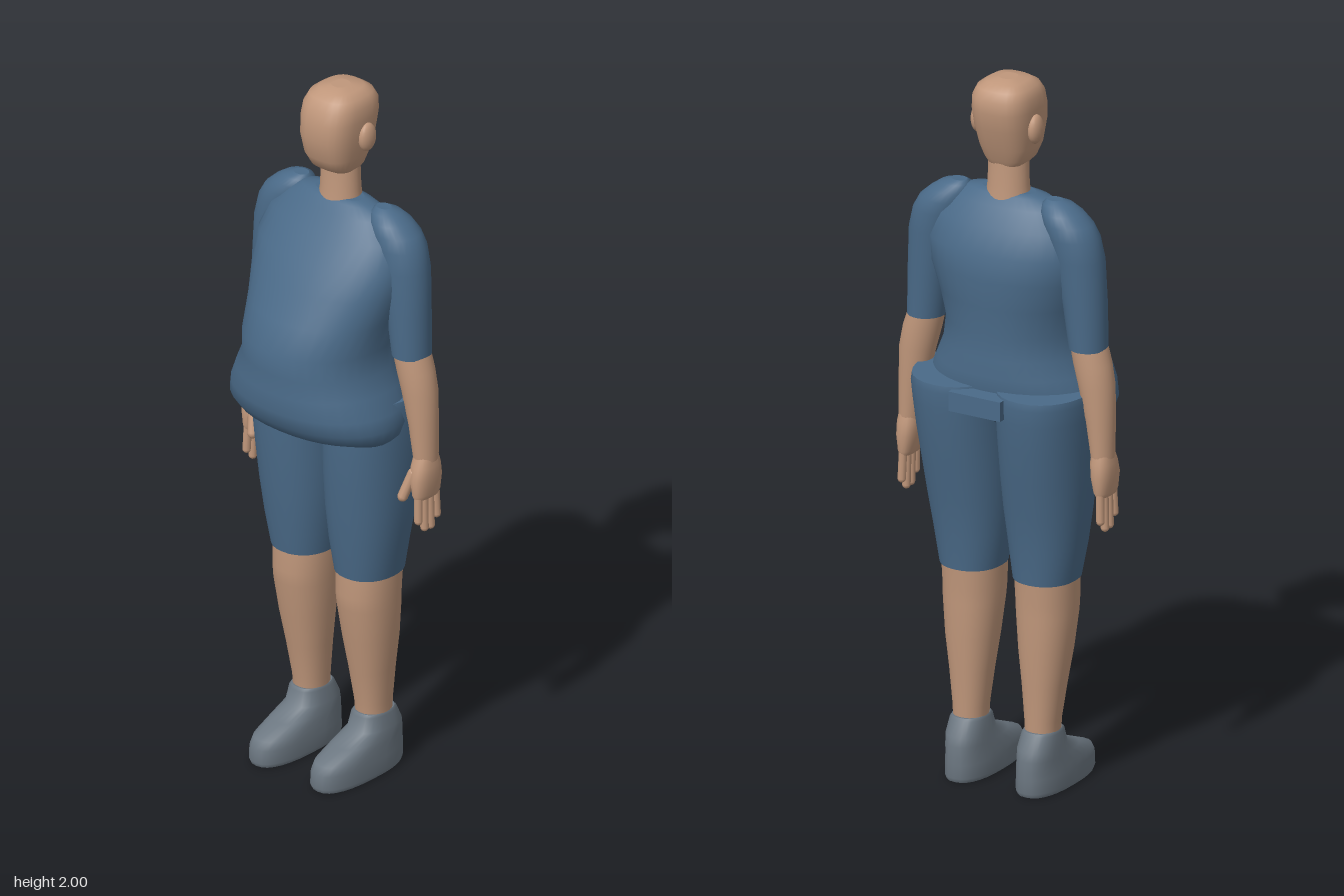
import * as THREE from 'three';

const mat = (name, color) => {
  const m = new THREE.MeshStandardMaterial({ color });
  m.name = name;
  return m;
};

// Smooth body through superellipse sections [y, xMin, xMax, zBack, zFront], bottom to top
function loft(sections, power = 2, sides = 28, side = 1) {
  const pos = [], index = [];
  const round = (v) => Math.sign(v) * Math.pow(Math.abs(v), 2 / power);
  const ring = ([y, xa, xb, zb, zf]) => {
    const start = pos.length / 3;
    for (let i = 0; i < sides; i++) {
      const t = (i / sides) * Math.PI * 2;
      pos.push(side * (xa + xb) / 2 + (xb - xa) / 2 * round(Math.cos(t)), y,
        (zb + zf) / 2 + (zf - zb) / 2 * round(Math.sin(t)));
    }
    return start;
  };
  const starts = sections.map(ring);
  for (let k = 0; k < starts.length - 1; k++) {
    for (let i = 0; i < sides; i++) {
      const j = (i + 1) % sides, a = starts[k], b = starts[k + 1];
      index.push(a + i, b + i, a + j, a + j, b + i, b + j);
    }
  }
  // Flat end caps with their own vertices
  const cap = (s, up) => {
    const r = ring(s), c = pos.length / 3;
    pos.push(side * (s[1] + s[2]) / 2, s[0], (s[3] + s[4]) / 2);
    for (let i = 0; i < sides; i++) {
      const j = (i + 1) % sides;
      if (up) index.push(c, r + j, r + i);
      else index.push(c, r + i, r + j);
    }
  };
  cap(sections[0], false);
  cap(sections[sections.length - 1], true);
  const g = new THREE.BufferGeometry();
  g.setAttribute('position', new THREE.Float32BufferAttribute(pos, 3));
  g.setIndex(index);
  g.computeVertexNormals();
  return g;
}

export function createModel() {
  const model = new THREE.Group();
  model.name = 'person';
  const skin = mat('skin', 0xc0977b);
  const cloth = mat('blue cloth', 0x4a6a88);
  const shoeGrey = mat('shoe grey', 0x6b7680);

  const add = (name, geometry, material, parent = model) => {
    const m = new THREE.Mesh(geometry, material);
    m.name = name;
    parent.add(m);
    return m;
  };
  const sym = (rows) => rows.map(([y, r, zb, zf]) => [y, -r, r, zb, zf]);

  // Rounded finger between two points
  const up = new THREE.Vector3(0, 1, 0);
  const finger = (name, a, b, r, parent) => {
    const d = b.clone().sub(a);
    const m = add(name, new THREE.CapsuleGeometry(r, d.length(), 4, 10), skin, parent);
    m.position.copy(a).add(b).multiplyScalar(0.5);
    m.quaternion.setFromUnitVectors(up, d.normalize());
  };

  // Head and neck
  add('head', loft(sym([
    [1.76, 0.052, -0.1, -0.002], [1.775, 0.064, -0.108, 0.022], [1.81, 0.076, -0.122, 0.042],
    [1.87, 0.084, -0.143, 0.056], [1.92, 0.087, -0.153, 0.052], [1.955, 0.085, -0.152, 0.042],
    [1.98, 0.074, -0.138, 0.025], [1.994, 0.052, -0.115, 0.002], [2.0, 0.022, -0.08, -0.03],
  ]), 2.8), skin);
  add('neck', loft(sym([[1.64, 0.066, -0.112, 0.004], [1.7, 0.058, -0.105, -0.004], [1.78, 0.056, -0.102, -0.006]])), skin);

  // Shirt with a full belly and rolled hem
  add('shirt', loft(sym([
    [1.02, 0.2, -0.08, 0.08], [1.03, 0.232, -0.11, 0.13], [1.055, 0.255, -0.14, 0.19],
    [1.09, 0.264, -0.165, 0.219], [1.13, 0.256, -0.18, 0.228], [1.185, 0.232, -0.183, 0.23],
    [1.235, 0.211, -0.178, 0.222], [1.3, 0.203, -0.178, 0.229], [1.38, 0.216, -0.184, 0.19],
    [1.46, 0.236, -0.192, 0.148], [1.53, 0.242, -0.186, 0.108], [1.6, 0.222, -0.158, 0.057],
    [1.65, 0.172, -0.122, 0.018], [1.675, 0.125, -0.1, -0.002], [1.682, 0.08, -0.088, -0.015],
  ]), 2.15, 36), cloth);

  // Strip joining the shorts at the back
  add('shortsBackStrip', new THREE.BoxGeometry(0.16, 0.055, 0.13), cloth).position.set(0, 1.117, -0.167);

  for (const s of [1, -1]) {
    const label = s > 0 ? 'left' : 'right';
    const limb = (part, rows, material, parent, power = 2, sides = 28) =>
      add(label + part, loft(rows, power, sides, s), material, parent);
    const leg = new THREE.Group(), arm = new THREE.Group();
    leg.name = label + 'LegGroup';
    arm.name = label + 'ArmGroup';
    model.add(leg, arm);

    const ear = add(label + 'Ear', new THREE.SphereGeometry(1, 16, 12), skin);
    ear.scale.set(0.018, 0.041, 0.03);
    ear.position.set(s * 0.088, 1.868, -0.062);

    // Shorts, bare leg and shoe
    limb('ShortsLeg', [
      [0.6, 0.026, 0.2, -0.14, 0.053], [0.7, 0.012, 0.218, -0.15, 0.068], [0.8, 0.003, 0.232, -0.168, 0.08],
      [0.9, 0, 0.242, -0.188, 0.09], [1.0, 0, 0.251, -0.208, 0.098], [1.08, 0, 0.257, -0.22, 0.1],
      [1.13, 0, 0.26, -0.226, 0.1], [1.15, 0.004, 0.257, -0.223, 0.095],
    ], cloth, leg, 2.2);
    limb('LowerLeg', [
      [0.15, 0.066, 0.156, -0.113, -0.012], [0.2, 0.064, 0.158, -0.115, -0.008], [0.3, 0.054, 0.17, -0.12, 0.01],
      [0.4, 0.042, 0.184, -0.127, 0.03], [0.5, 0.033, 0.193, -0.13, 0.047], [0.54, 0.031, 0.194, -0.131, 0.051],
      [0.61, 0.029, 0.196, -0.136, 0.05],
    ], skin, leg, 2.2);
    limb('Shoe', [
      [0, 0.05, 0.17, -0.15, 0.158], [0.012, 0.045, 0.174, -0.156, 0.164], [0.05, 0.046, 0.173, -0.156, 0.162],
      [0.072, 0.048, 0.171, -0.155, 0.148], [0.1, 0.052, 0.168, -0.153, 0.08], [0.125, 0.056, 0.165, -0.147, 0.016],
      [0.165, 0.062, 0.16, -0.127, 0.002], [0.172, 0.066, 0.156, -0.12, -0.006],
    ], shoeGrey, leg, 2.5);

    // Sleeve with a domed shoulder, then forearm
    limb('Sleeve', [
      [1.28, 0.198, 0.302, -0.115, -0.003], [1.4, 0.18, 0.3, -0.12, 0.002], [1.53, 0.15, 0.294, -0.129, 0.005],
      [1.59, 0.13, 0.28, -0.132, 0.005], [1.625, 0.118, 0.26, -0.128, 0], [1.652, 0.112, 0.23, -0.118, -0.008],
      [1.672, 0.115, 0.2, -0.1, -0.024], [1.682, 0.125, 0.17, -0.08, -0.044],
    ], cloth, arm);
    limb('Forearm', [
      [0.98, 0.266, 0.328, -0.1, -0.026], [1.08, 0.25, 0.329, -0.104, -0.02], [1.18, 0.226, 0.327, -0.11, -0.012],
      [1.24, 0.21, 0.316, -0.111, -0.008], [1.29, 0.2, 0.3, -0.11, -0.006],
    ], skin, arm);

    // Hand with four fingers and a thumb
    limb('Palm', [
      [0.872, 0.287, 0.32, -0.1, -0.014], [0.885, 0.28, 0.325, -0.105, -0.01], [0.93, 0.27, 0.331, -0.109, -0.007],
      [0.965, 0.267, 0.33, -0.105, -0.016], [0.995, 0.27, 0.325, -0.097, -0.028],
    ], skin, arm, 2.4, 20);
    [0.81, 0.783, 0.781, 0.806].forEach((tip, i) => {
      const z = -0.025 - i * 0.022;
      finger(label + 'Finger' + (i + 1), new THREE.Vector3(s * 0.304, 0.9, z),
        new THREE.Vector3(s * 0.307, tip, z + 0.003 - i * 0.002), 0.0115, arm);
    });
    finger(label + 'Thumb', new THREE.Vector3(s * 0.285, 0.945, -0.025),
      new THREE.Vector3(s * 0.268, 0.878, -0.003), 0.0145, arm);
  }
  return model;
}
